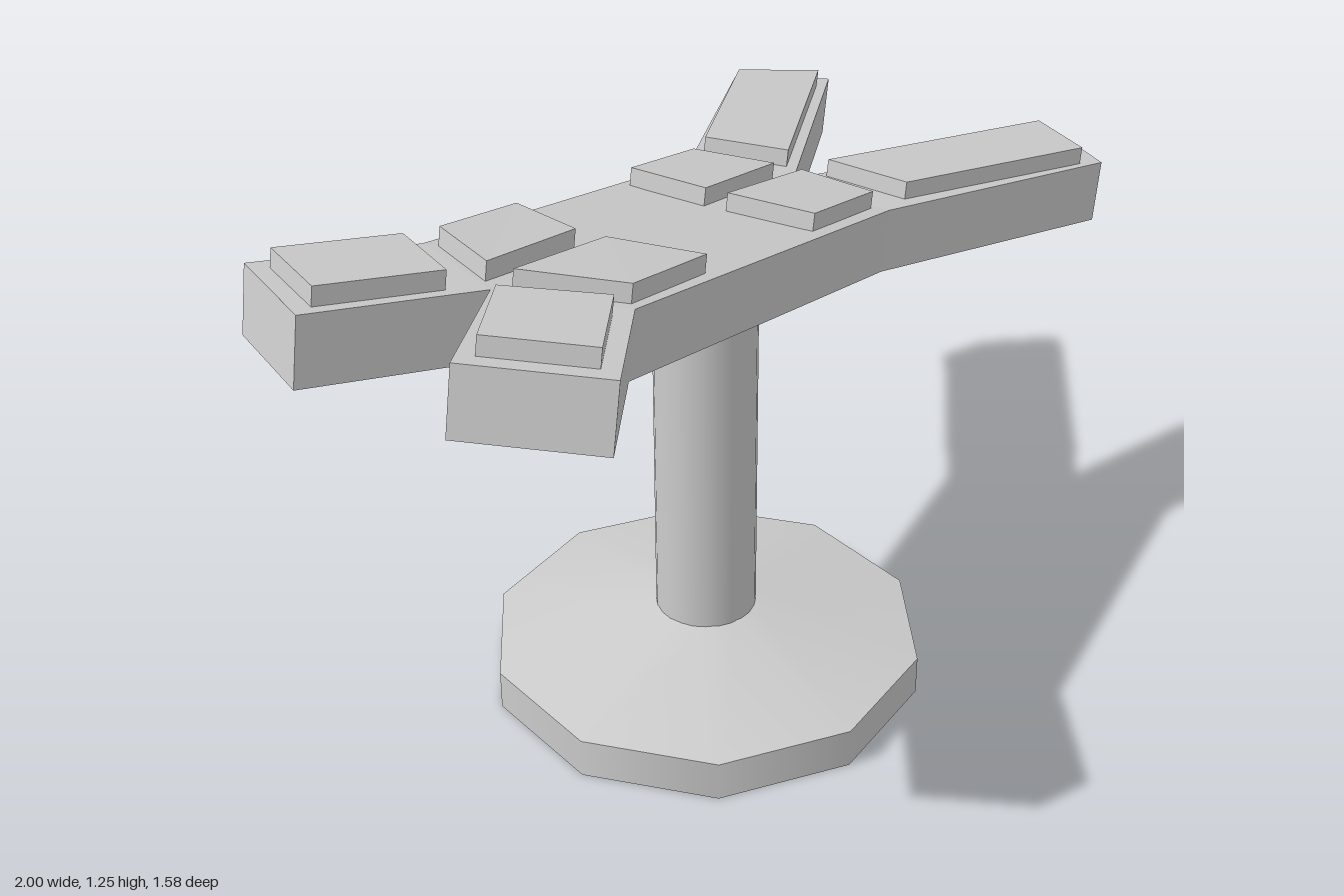
import * as THREE from 'three';

const material = new THREE.MeshStandardMaterial({ color: 0xcccccc });

// Long axis of the board in plan, and the up direction of its sloping top
const AXIS = new THREE.Vector2(0.883, -0.469);
const UP = new THREE.Vector3(AXIS.x * 0.18, 0.98, AXIS.y * 0.18);

// Height of the board's top along its long axis: steeper in the middle, flatter at the arms
const PROFILE = [[-1.04, 1.22], [-0.64, 1.16], [0.25, 0.978], [0.985, 0.892]];
function topHeight(x, z) {
  const u = x * AXIS.x + z * AXIS.y;
  let i = 0;
  while (i < 2 && u > PROFILE[i + 1][0]) i++;
  const [[u0, y0], [u1, y1]] = [PROFILE[i], PROFILE[i + 1]];
  return y0 + ((u - u0) / (u1 - u0)) * (y1 - y0);
}

// Prism over a plan outline of [x, z] corners, following the sloping top
function slab(name, outline, low, high) {
  const shape = new THREE.Shape(outline.map(([x, z]) => new THREE.Vector2(x, -z)));
  const geometry = new THREE.ExtrudeGeometry(shape, { depth: 1, bevelEnabled: false });
  geometry.rotateX(-Math.PI / 2);
  const pos = geometry.attributes.position;
  for (let i = 0; i < pos.count; i++) {
    const x = pos.getX(i), z = pos.getZ(i);
    const h = pos.getY(i) > 0.5 ? high : low;
    pos.setXYZ(i, x + UP.x * h, topHeight(x, z) + UP.y * h, z + UP.z * h);
  }
  geometry.computeVertexNormals();
  const mesh = new THREE.Mesh(geometry, material);
  mesh.name = name;
  return mesh;
}

function cylinder(name, rTop, rBottom, y0, y1, sides, start, open = false) {
  const geometry = new THREE.CylinderGeometry(rTop, rBottom, y1 - y0, sides, 1, open, start);
  const mesh = new THREE.Mesh(geometry, material);
  mesh.position.set(-0.063, (y0 + y1) / 2, 0.074);
  mesh.name = name;
  return mesh;
}

export function createModel() {
  const model = new THREE.Group();
  model.name = 'forkedBoardOnStand';

  // Stand: ten-sided foot, sloping cover and round column
  const turn = THREE.MathUtils.degToRad(9.5);
  model.add(
    cylinder('foot', 0.456, 0.456, 0, 0.085, 10, turn),
    cylinder('footCover', 0.104, 0.456, 0.085, 0.16, 10, turn, true),
    cylinder('column', 0.105, 0.105, 0.14, 0.98, 24, 0),
  );

  // Board: a six-cornered body with two arms at each end
  const backLeft = [0.105, -0.29], forkLeft = [0.262, -0.13], frontLeft = [0.345, 0.1];
  const frontRight = [-0.448, 0.518], forkRight = [-0.638, 0.36], backRight = [-0.655, 0.115];
  const board = new THREE.Group();
  board.name = 'board';
  const pieces = {
    body: [backRight, backLeft, forkLeft, frontLeft, frontRight, forkRight],
    backLeftArm: [backLeft, [0.507, -0.79], [0.718, -0.71], forkLeft],
    frontLeftArm: [forkLeft, [1.0, -0.217], [0.957, 0.013], frontLeft],
    backRightArm: [forkRight, [-0.978, 0.366], [-0.978, 0.115], backRight],
    frontRightArm: [frontRight, [-0.61, 0.776], [-0.826, 0.625], forkRight],
  };
  for (const [name, outline] of Object.entries(pieces)) board.add(slab(name, outline, -0.13, 0));
  model.add(board);

  // Raised pads: one on each arm and a pair at each end of the body
  const pads = new THREE.Group();
  pads.name = 'pads';
  const padOutlines = {
    backLeftArmPad: [[0.485, -0.74], [0.662, -0.675], [0.288, -0.2], [0.165, -0.334]],
    frontLeftArmPad: [[0.932, -0.185], [0.905, 0.003], [0.412, 0.056], [0.336, -0.12]],
    backLeftBodyPad: [[-0.104, -0.157], [0.1, -0.268], [0.217, -0.14], [-0.023, -0.001]],
    frontLeftBodyPad: [[0.004, 0.037], [0.25, -0.086], [0.314, 0.08], [0.106, 0.192]],
    backRightBodyPad: [[-0.634, 0.133], [-0.437, 0.026], [-0.399, 0.192], [-0.629, 0.32]],
    frontRightBodyPad: [[-0.602, 0.368], [-0.366, 0.245], [-0.233, 0.374], [-0.441, 0.491]],
    backRightArmPad: [[-0.945, 0.15], [-0.709, 0.15], [-0.709, 0.338], [-0.943, 0.34]],
    frontRightArmPad: [[-0.661, 0.427], [-0.496, 0.529], [-0.618, 0.726], [-0.779, 0.614]],
  };
  for (const [name, outline] of Object.entries(padOutlines)) pads.add(slab(name, outline, -0.02, 0.036));
  model.add(pads);

  return model;
}
